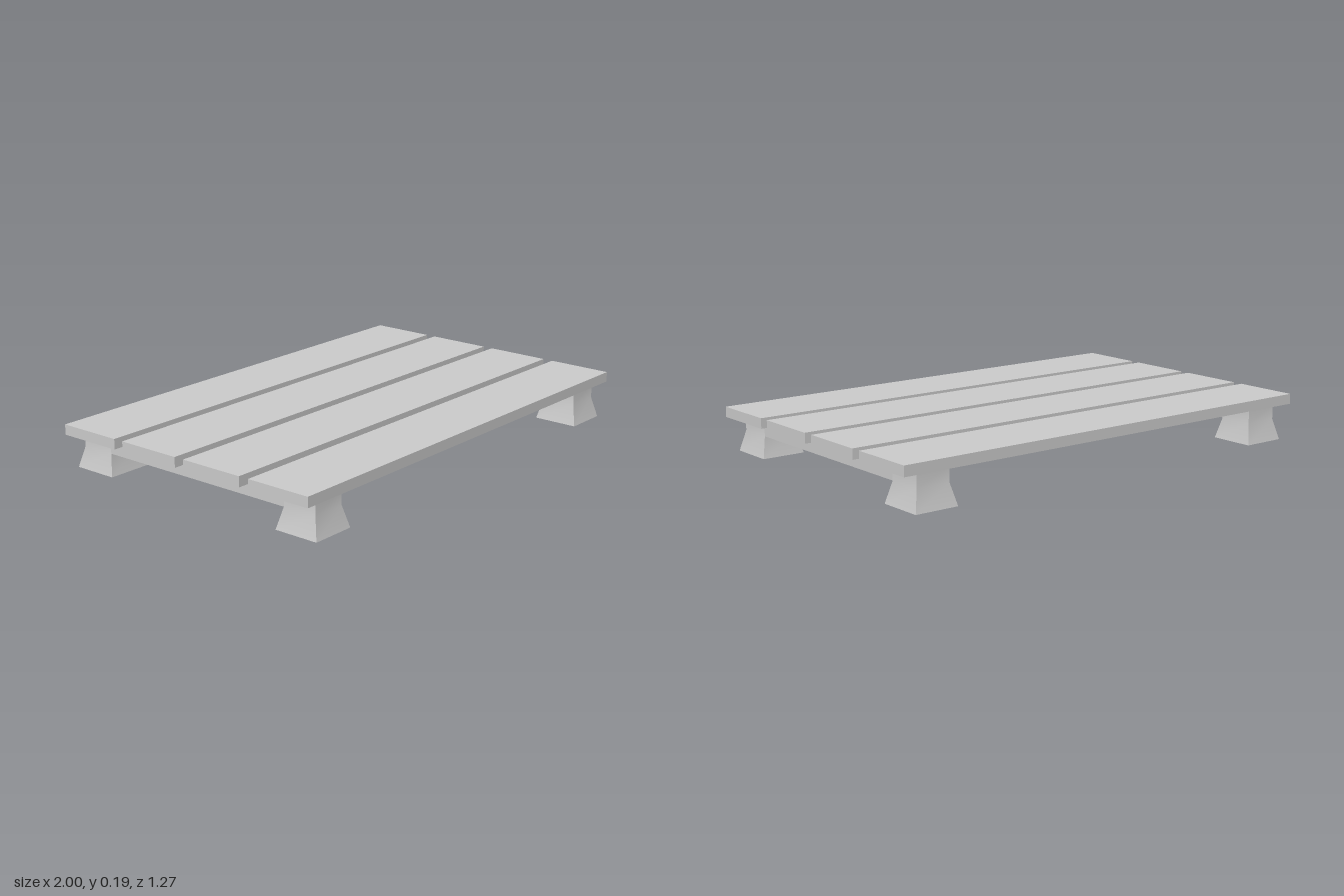
import * as THREE from 'three';
import { toCreasedNormals } from 'three/addons/utils/BufferGeometryUtils.js';

const material = new THREE.MeshStandardMaterial({ color: 0xcccccc });
const DECK_Y = 0.148, TOP_Y = 0.191; // underside and top of the planks
const RAIL_Y = 0.088;                // underside of the rails, where the feet start to flare
const RAIL_X = 0.853, RAIL_W = 0.145;
const FOOT_Z = 0.53, FOOT_D = 0.15, FLARE = 1.3;

function addMesh(parent, name, geometry, x, y, z) {
  const mesh = new THREE.Mesh(geometry, material);
  mesh.name = name;
  mesh.position.set(x, y, z);
  parent.add(mesh);
}

// Block with straight upper sides that splays outwards to the ground
function footGeometry() {
  const geometry = new THREE.BoxGeometry(RAIL_W, DECK_Y, FOOT_D, 1, 2, 1);
  geometry.translate(0, DECK_Y / 2, 0);
  const p = geometry.attributes.position;
  for (let i = 0; i < p.count; i++) {
    const y = p.getY(i);
    if (y < 0.01) {
      p.setX(i, p.getX(i) * FLARE);
      p.setZ(i, p.getZ(i) * FLARE);
    } else if (y < DECK_Y - 0.01) {
      p.setY(i, RAIL_Y);
    }
  }
  return toCreasedNormals(geometry, 0.5);
}

export function createModel() {
  const model = new THREE.Group();
  model.name = 'slattedPlatform';

  // Four deck planks with gaps between them
  const plank = new THREE.BoxGeometry(2, TOP_Y - DECK_Y, 0.284);
  for (let i = 0; i < 4; i++) {
    addMesh(model, 'plank', plank, 0, (DECK_Y + TOP_Y) / 2, (i - 1.5) * 0.3285);
  }

  // A rail at each end, carried by two flared feet
  const rail = new THREE.BoxGeometry(RAIL_W, DECK_Y - RAIL_Y, 2 * FOOT_Z - FOOT_D);
  const foot = footGeometry();
  for (const side of [-1, 1]) {
    const support = new THREE.Group();
    support.name = side > 0 ? 'leftSupport' : 'rightSupport';
    support.position.x = side * RAIL_X;
    addMesh(support, 'rail', rail, 0, (RAIL_Y + DECK_Y) / 2, 0);
    addMesh(support, 'frontFoot', foot, 0, 0, FOOT_Z);
    addMesh(support, 'backFoot', foot, 0, 0, -FOOT_Z);
    model.add(support);
  }
  return model;
}
